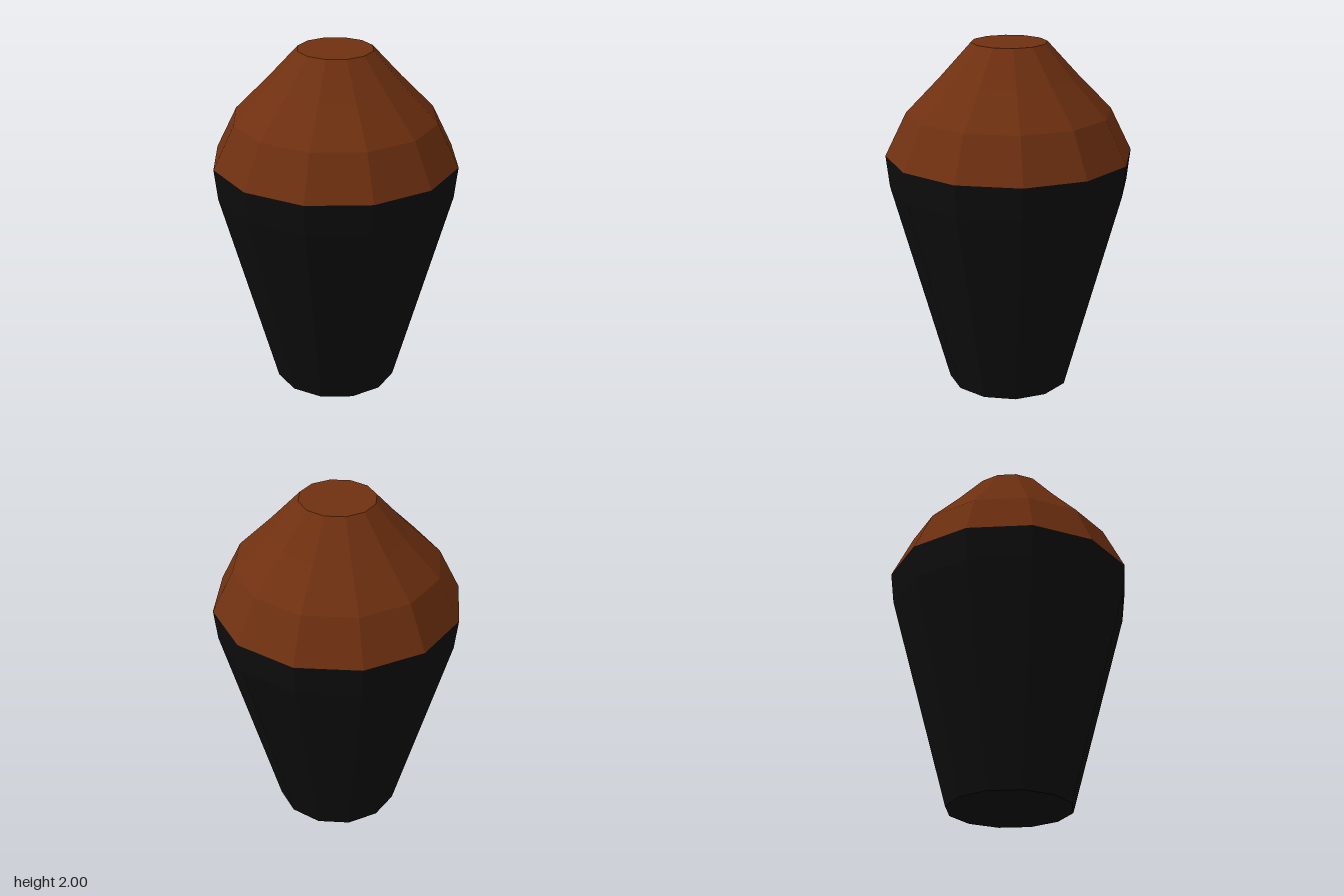
import * as THREE from 'three';

const SIDES = 12;

// Faceted solid of revolution from [radius, height] pairs, bottom to top
function turned(name, profile, material) {
  const points = profile.map(([r, y]) => new THREE.Vector2(r, y));
  const geometry = new THREE.LatheGeometry(points, SIDES).toNonIndexed();
  geometry.computeVertexNormals(); // one normal per facet
  const mesh = new THREE.Mesh(geometry, material);
  mesh.name = name;
  return mesh;
}

export function createModel() {
  const black = new THREE.MeshStandardMaterial({ color: 0x0d0d0d });
  black.name = 'black';
  const brown = new THREE.MeshStandardMaterial({ color: 0x6f3010 });
  brown.name = 'brown';

  const model = new THREE.Group();
  model.name = 'vessel';

  // Tapered lower body with a closed base
  model.add(turned('lowerBody', [[0, 0], [0.352, 0], [0.676, 1.19], [0.696, 1.37]], black));

  // Domed shoulder narrowing to a flat, closed top
  model.add(turned('shoulder', [[0.696, 1.37], [0.575, 1.615], [0.385, 1.81], [0.212, 2], [0, 2]], brown));

  return model;
}
